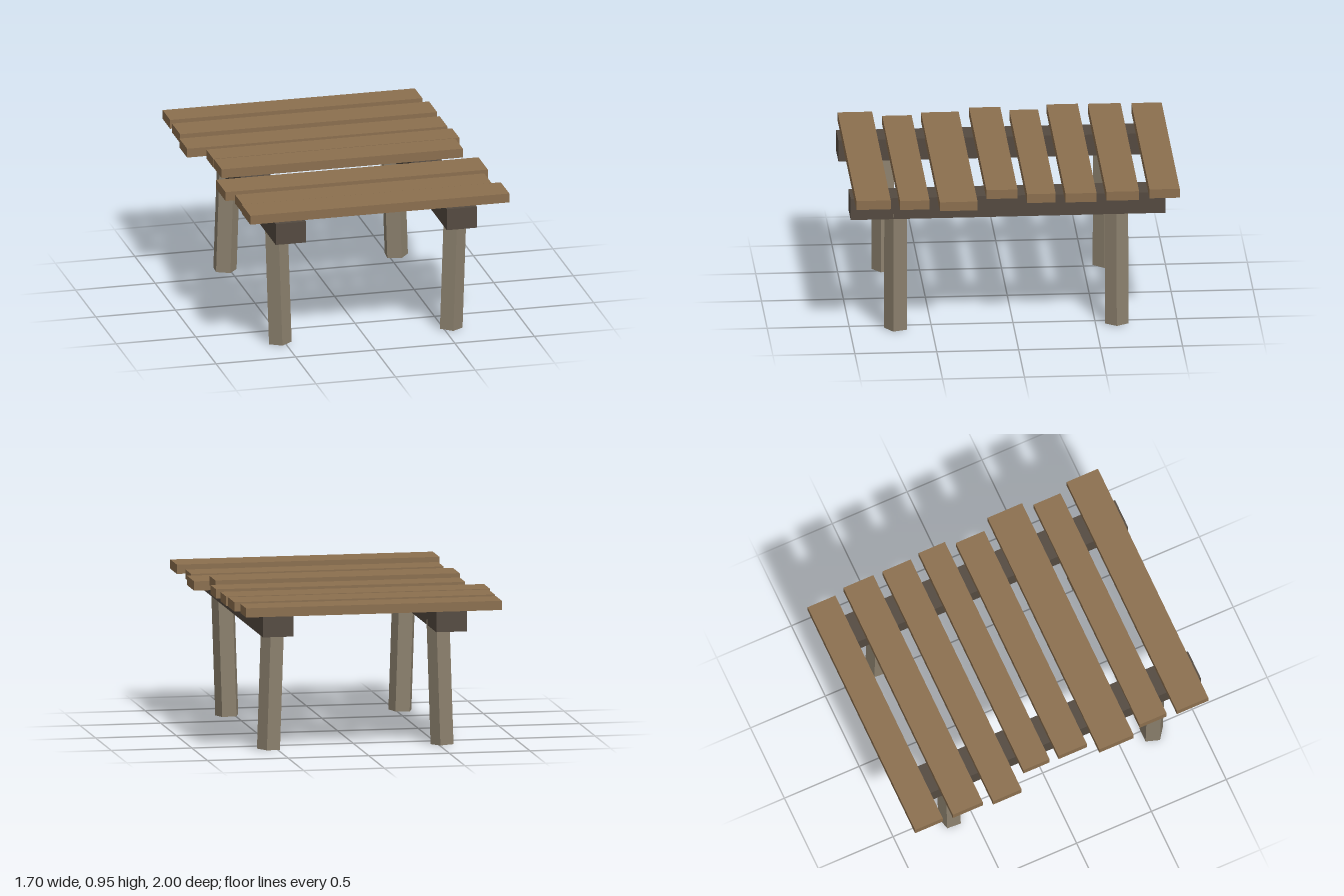
import * as THREE from 'three';

const mat = (name, color) => {
  const m = new THREE.MeshStandardMaterial({ color });
  m.name = name;
  return m;
};

export function createModel() {
  const group = new THREE.Group();
  group.name = 'plankTable';
  const plankWood = mat('plank brown', 0x8b6f4e);
  const beamWood = mat('dark beam brown', 0x544a40);
  const legWood = mat('weathered leg grey', 0x8b806d);
  legWood.flatShading = true;

  // Box given by its extents on each axis
  const slab = (name, material, x0, x1, y0, y1, z0, z1) => {
    const mesh = new THREE.Mesh(new THREE.BoxGeometry(x1 - x0, y1 - y0, z1 - z0), material);
    mesh.position.set((x0 + x1) / 2, (y0 + y1) / 2, (z0 + z1) / 2);
    mesh.name = name;
    group.add(mesh);
  };

  // Uneven top planks, back to front: x0, x1, z0, z1, top height
  [
    [-0.825, 0.76, -1.0, -0.815, 0.93],
    [-0.83, 0.785, -0.75, -0.55, 0.93],
    [-0.85, 0.785, -0.49, -0.3, 0.925],
    [-0.745, 0.8, -0.24, -0.065, 0.932],
    [-0.755, 0.76, -0.01, 0.18, 0.95],
    [-0.805, 0.843, 0.24, 0.47, 0.908],
    [-0.76, 0.805, 0.53, 0.71, 0.908],
    [-0.78, 0.848, 0.77, 0.98, 0.93],
  ].forEach(([x0, x1, z0, z1, y], i) =>
    slab(`plank${i + 1}`, plankWood, x0, x1, y - 0.057, y, z0, z1));

  // Two long support beams
  slab('rightBeam', beamWood, -0.625, -0.435, 0.735, 0.87, -0.92, 1.0);
  slab('leftBeam', beamWood, 0.45, 0.64, 0.735, 0.87, -0.92, 1.0);

  // Five-sided legs: front pair splays outward at the top, back pair inward
  const legGeo = new THREE.CylinderGeometry(0.075, 0.075, 0.768, 5);
  const lean = 0.033;
  [
    ['frontRightLeg', -0.542, 0.715, lean, 0],
    ['frontLeftLeg', 0.557, 0.715, -lean, 0],
    ['backRightLeg', -0.518, -0.63, -lean, 0.25],
    ['backLeftLeg', 0.533, -0.63, lean, 0.25],
  ].forEach(([name, x, z, tilt, turn]) => {
    const leg = new THREE.Mesh(legGeo, legWood);
    leg.name = name;
    leg.position.set(x, 0.386, z);
    leg.rotation.set(0, turn, tilt, 'ZYX');
    group.add(leg);
  });

  return group;
}
